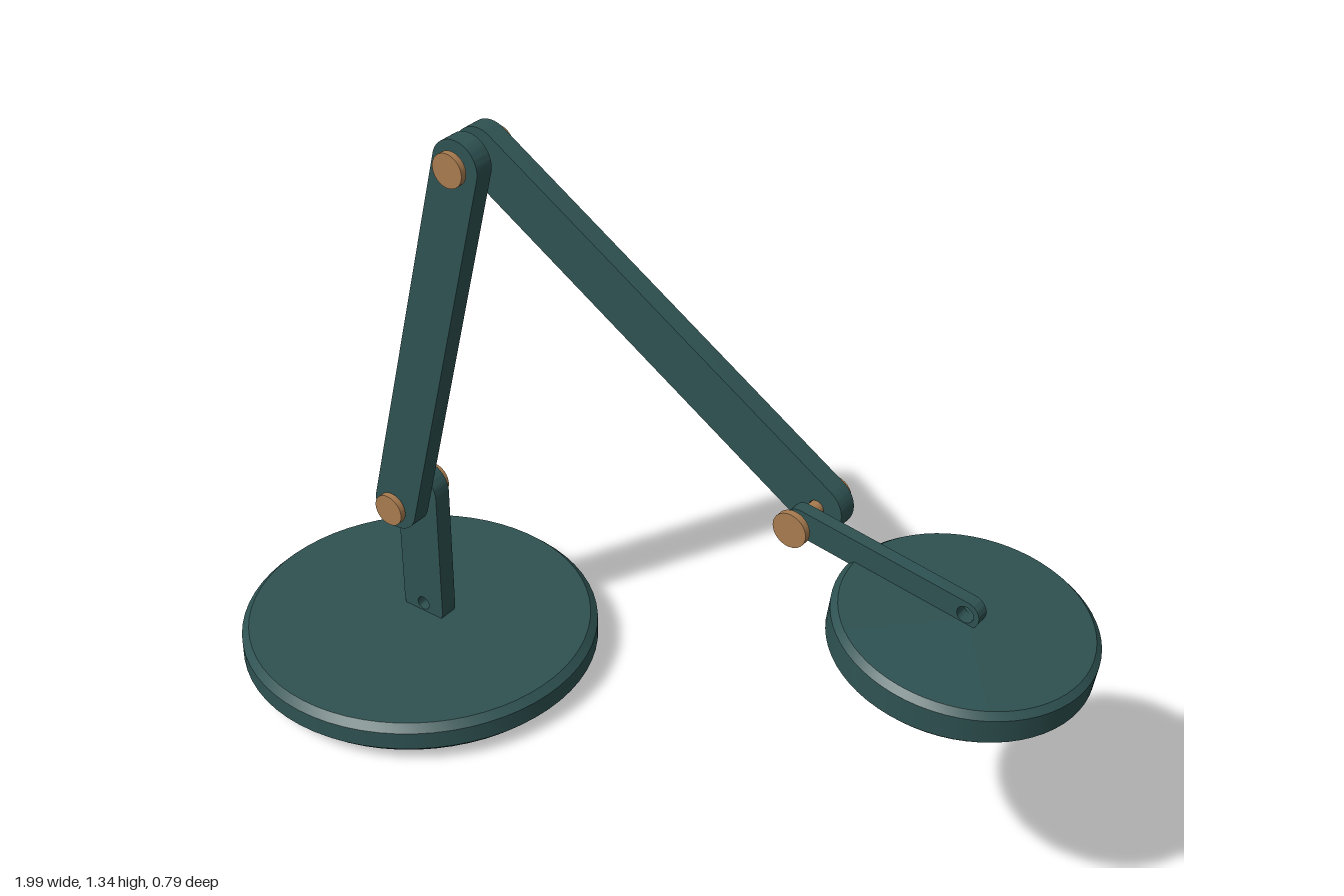
import * as THREE from 'three';
import { toCreasedNormals } from 'three/addons/utils/BufferGeometryUtils.js';

const material = (name, color) => {
  const m = new THREE.MeshStandardMaterial({ color });
  m.name = name;
  return m;
};

export function createModel() {
  const teal = material('dark teal', 0x2f5252);
  const copper = material('copper', 0xa87b4f);
  const rubber = material('black rubber', 0x262424);
  const cream = material('cream diffuser', 0xded2c4);

  const lamp = new THREE.Group();
  lamp.name = 'deskLamp';
  const add = (parent, name, geometry, mat, x = 0, y = 0, z = 0) => {
    const mesh = new THREE.Mesh(geometry, mat);
    mesh.name = name;
    mesh.position.set(x, y, z);
    parent.add(mesh);
    return mesh;
  };

  // Disc with chamfered rims, centred on its own origin
  const disc = (r, h, c) => {
    const profile = [[0, -h / 2], [r - c, -h / 2], [r, -h / 2 + c], [r, h / 2 - c], [r - c, h / 2], [0, h / 2]];
    const points = profile.map(([x, y]) => new THREE.Vector2(x, y));
    return toCreasedNormals(new THREE.LatheGeometry(points, 64), 0.5);
  };

  // Flat round-ended link from pivot a to pivot b, with a hole at each pivot
  const link = (name, a, b, r, z, thickness, hole) => {
    const length = Math.hypot(b[0] - a[0], b[1] - a[1]);
    const shape = new THREE.Shape();
    shape.absarc(length, 0, r, -Math.PI / 2, Math.PI / 2);
    shape.absarc(0, 0, r, Math.PI / 2, Math.PI * 1.5);
    shape.closePath();
    for (const x of [0, length]) {
      shape.holes.push(new THREE.Path().absarc(x, 0, hole, 0, Math.PI * 2, true));
    }
    const geometry = new THREE.ExtrudeGeometry(shape, { depth: thickness, bevelEnabled: false, curveSegments: 20 });
    geometry.translate(0, 0, -thickness / 2);
    const mesh = add(lamp, name, toCreasedNormals(geometry, 0.5), teal, a[0], a[1], z);
    mesh.rotation.z = Math.atan2(b[1] - a[1], b[0] - a[0]);
  };

  // Weighted base on three feet
  const baseX = -0.605;
  add(lamp, 'base', disc(0.395, 0.073, 0.016), teal, baseX, 0.0615, 0);
  for (let i = 0; i < 3; i++) {
    const angle = (i * Math.PI * 2) / 3;
    add(lamp, 'foot', new THREE.CylinderGeometry(0.045, 0.045, 0.03, 32), rubber,
      baseX + 0.26 * Math.cos(angle), 0.015, 0.26 * Math.sin(angle));
  }

  // Post and arms, staggered in depth
  const root = [baseX, 0.118];
  const knee = [baseX, 0.42];
  const elbow = [-0.39, 1.285];
  const wrist = [0.4, 0.795];
  const tip = [0.755, 0.745];
  link('post', root, knee, 0.055, -0.034, 0.043, 0.016);
  link('lowerArm', knee, elbow, 0.055, 0.034, 0.043, 0.016);
  link('upperArm', elbow, wrist, 0.055, -0.034, 0.043, 0.016);
  link('headArm', wrist, tip, 0.028, 0.033, 0.027, 0.017);

  // Bolt with a round head on both sides at every joint
  for (const [x, y] of [knee, elbow, wrist]) {
    const bolt = new THREE.Group();
    bolt.name = 'jointBolt';
    bolt.position.set(x, y, 0);
    bolt.rotation.x = Math.PI / 2;
    add(bolt, 'boltShaft', new THREE.CylinderGeometry(0.015, 0.015, 0.14, 24), copper);
    for (const side of [-1, 1]) {
      add(bolt, 'boltHead', new THREE.CylinderGeometry(0.036, 0.036, 0.014, 32), copper, 0, side * 0.071, 0);
    }
    lamp.add(bolt);
  }

  // Tilted lamp head with a diffuser beneath
  const head = new THREE.Group();
  head.name = 'lampHead';
  head.position.set(0.748, 0.69, 0.033);
  head.rotation.z = -0.14;
  add(head, 'headShell', disc(0.245, 0.075, 0.012), teal);
  add(head, 'diffuser', new THREE.CylinderGeometry(0.225, 0.225, 0.006, 64), cream, 0, -0.0365, 0);
  lamp.add(head);

  return lamp;
}
